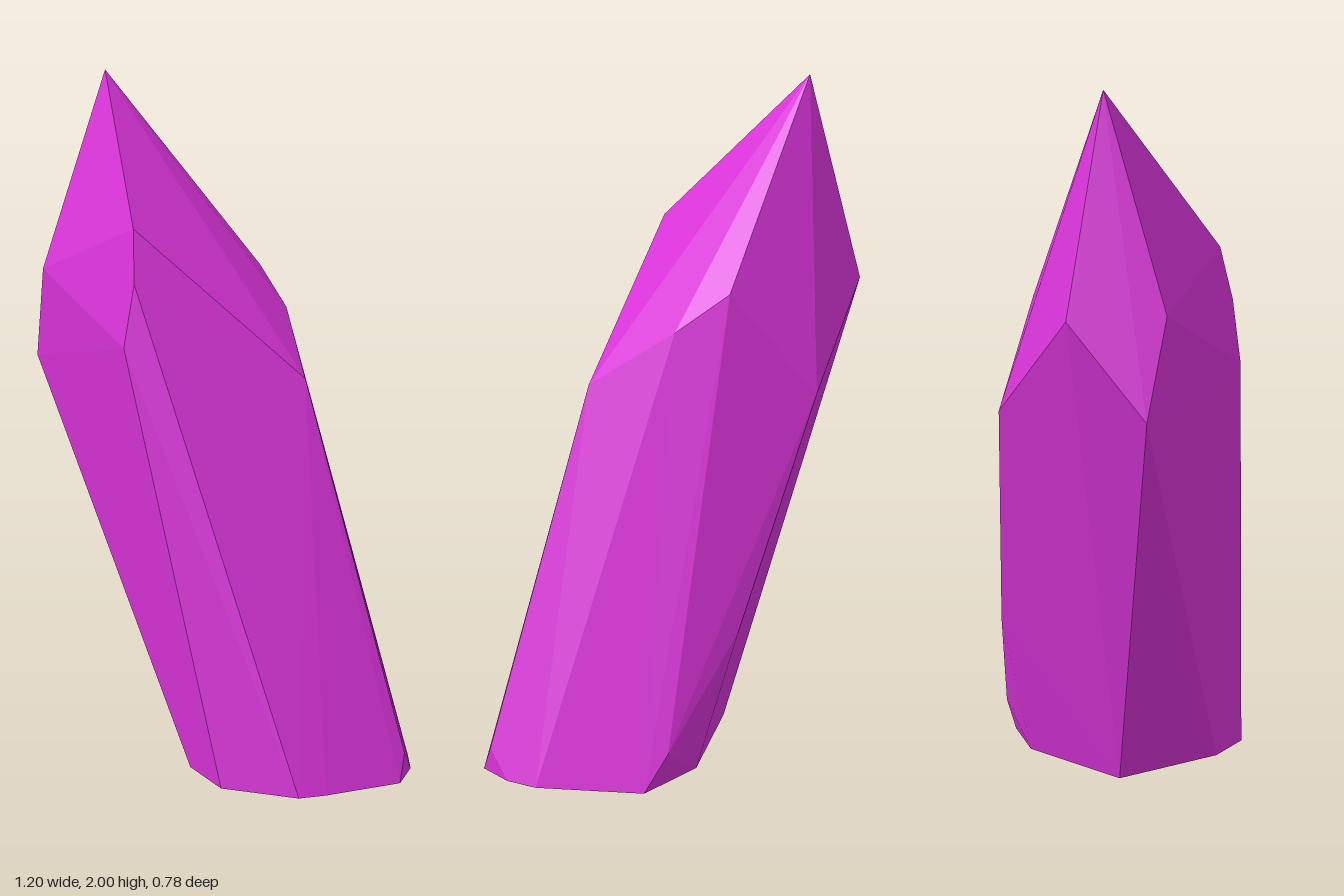
import * as THREE from 'three';
import { ConvexGeometry } from 'three/addons/geometries/ConvexGeometry.js';

// The cut base lies on a very slightly tilted plane
const basePoint = (x, z) => [x, 0.022 * (0.6 - x), z];

export function createModel() {
  const group = new THREE.Group();
  group.name = 'crystal';

  const magenta = new THREE.MeshStandardMaterial({ color: 0xd934d9 });
  magenta.name = 'magenta crystal';
  magenta.flatShading = true;

  // Pointed tip and the uneven shoulder where the tip facets meet the shaft
  const tip = [[-0.45, 2, 0.1]];
  const shoulder = [
    [-0.07, 1.57, 0.33], [-0.035, 1.42, 0.36], [-0.05, 1.24, 0.388],
    [-0.52, 1.415, 0.295], [-0.597, 1.14, 0.262], [-0.6, 1.4, 0.042],
    [-0.37, 1.12, -0.23], [-0.11, 1.42, -0.215], [0.04, 1.31, -0.175],
    [0.257, 1.14, -0.03],
  ];

  // Chipped corners low on the shaft
  const chips = [[-0.11, 0.45, -0.322], [0.12, 0.125, -0.39], [0.585, 0.08, -0.11]];

  // Outline of the cut base
  const base = [
    [-0.19, 0.07], [0.11, 0.29], [0.28, 0.33], [0.477, 0.217], [0.515, 0.145],
    [0.6, -0.075], [0.55, -0.18], [0.48, -0.25], [0.19, -0.385], [0, -0.27],
  ].map(([x, z]) => basePoint(x, z));

  // Flat facets stretched over all corners
  const corners = [...tip, ...shoulder, ...chips, ...base].map((p) => new THREE.Vector3(...p));
  const shard = new THREE.Mesh(new ConvexGeometry(corners), magenta);
  shard.name = 'crystalShard';
  group.add(shard);

  return group;
}
